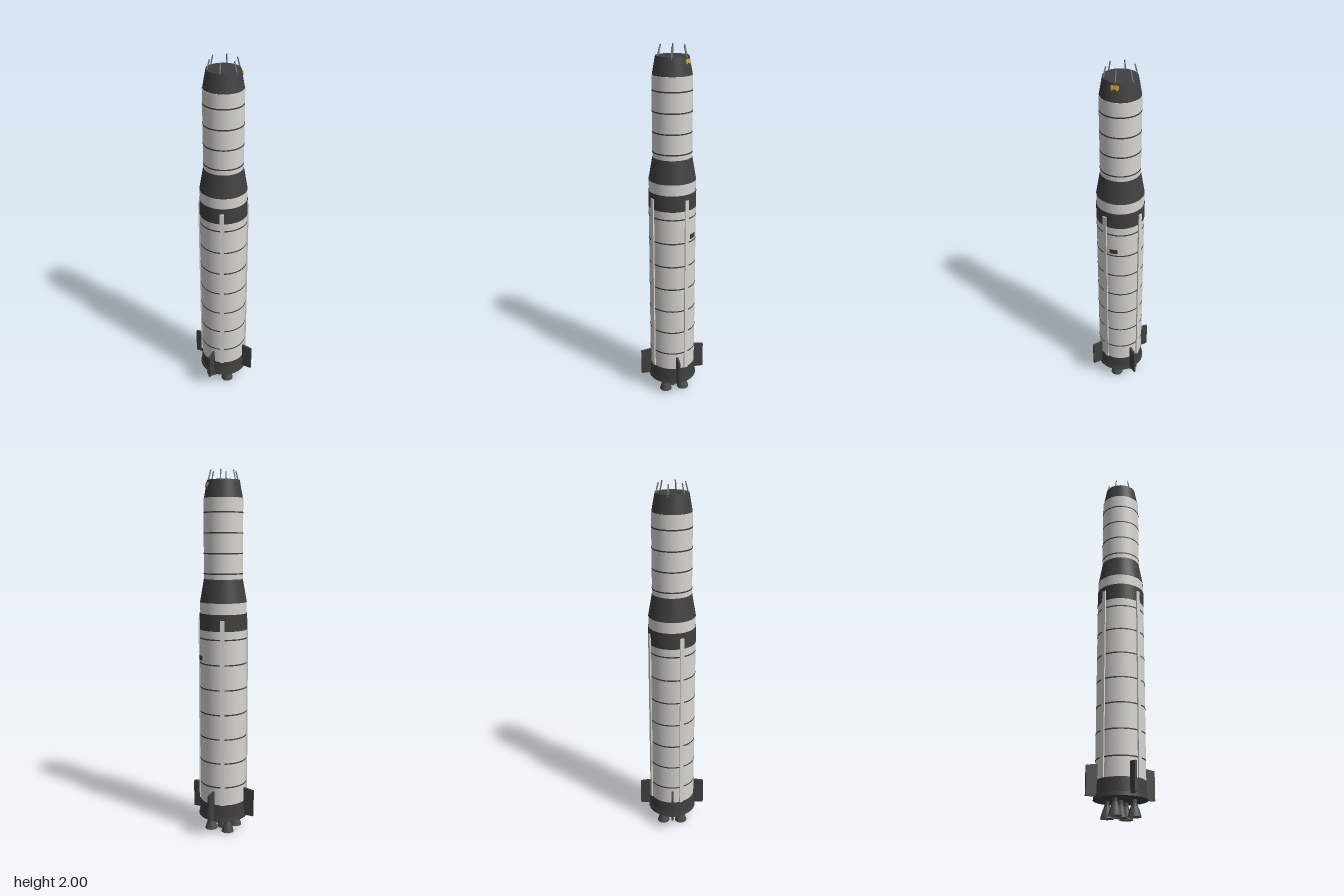
import * as THREE from 'three';

const mat = (name, color, side = THREE.FrontSide) => {
  const m = new THREE.MeshStandardMaterial({ color, side });
  m.name = name;
  return m;
};

export function createModel() {
  const rocket = new THREE.Group();
  rocket.name = 'rocket';
  const white = mat('white paint', 0xd6d5cf);
  const black = mat('black paint', 0x404040);
  const engineGrey = mat('engine grey', 0x4a4a49, THREE.DoubleSide);
  const steel = mat('steel', 0x7d8284);
  const gold = mat('gold', 0xc9a52c, THREE.DoubleSide);

  const add = (name, geometry, material, parent = rocket) => {
    const mesh = new THREE.Mesh(geometry, material);
    mesh.name = name;
    parent.add(mesh);
    return mesh;
  };
  // Hull section between two heights
  const section = (name, y0, y1, r0, r1, material, open = true) => {
    const mesh = add(name, new THREE.CylinderGeometry(r1, r0, y1 - y0, 64, 1, open), material);
    mesh.position.y = (y0 + y1) / 2;
    return mesh;
  };
  // Rod between two points
  const rod = (name, a, b, r, material, parent) => {
    const mesh = add(name, new THREE.CylinderGeometry(r, r, a.distanceTo(b), 8), material, parent);
    mesh.position.copy(a).lerp(b, 0.5);
    mesh.quaternion.setFromUnitVectors(new THREE.Vector3(0, 1, 0), b.clone().sub(a).normalize());
    return mesh;
  };

  // Hull, from the tail up
  section('tailFlange', 0.085, 0.105, 0.139, 0.136, black, false);
  section('tailSkirt', 0.105, 0.178, 0.133, 0.13, black, false);
  section('lowerStage', 0.178, 1.155, 0.129, 0.129, white);
  section('interstageBand', 1.155, 1.245, 0.13, 0.13, black, false);
  section('interstageRing', 1.245, 1.305, 0.127, 0.127, white);
  section('shoulder', 1.305, 1.43, 0.128, 0.106, black, false);
  section('upperStage', 1.43, 1.857, 0.106, 0.106, white, false);
  section('noseCone', 1.857, 1.95, 0.104, 0.087, black, false);

  // Panel seams
  for (let i = 0; i < 7; i++) {
    const y = 0.281 + i * 0.138;
    section('lowerSeam', y - 0.0035, y + 0.0035, 0.1298, 0.1298, black, false);
  }
  for (let i = 0; i < 4; i++) {
    const y = 1.459 + i * 0.1075;
    section('upperSeam', y - 0.0035, y + 0.0035, 0.1068, 0.1068, black, false);
  }

  // Four cable ducts, turned off the main axes
  for (let i = 0; i < 4; i++) {
    const pivot = new THREE.Group();
    pivot.name = 'cableDuct';
    pivot.rotation.y = i * Math.PI / 2 - Math.atan2(0.05, 0.125);
    const duct = add('duct', new THREE.BoxGeometry(0.022, 1.037, 0.014), white, pivot);
    duct.position.set(0, 0.6965, 0.129);
    rocket.add(pivot);
  }

  // Four diagonal fins
  const finShape = new THREE.Shape([
    [0.12, 0.095], [0.188, 0.095], [0.188, 0.247], [0.12, 0.257],
  ].map(([x, y]) => new THREE.Vector2(x, y)));
  const finGeometry = new THREE.ExtrudeGeometry(finShape, { depth: 0.012, bevelEnabled: false });
  finGeometry.translate(0, 0, -0.006);
  for (let i = 0; i < 4; i++) {
    add('fin', finGeometry, black).rotation.y = Math.PI / 4 + i * Math.PI / 2;
  }

  // Five engines: one in the middle and four on the axes
  const bell = new THREE.LatheGeometry([
    [0.035, 0], [0.029, 0.022], [0.021, 0.045], [0.013, 0.066], [0.012, 0.09],
  ].map(([x, y]) => new THREE.Vector2(x, y)), 24);
  for (const [x, z] of [[0, 0], [0.073, 0], [-0.073, 0], [0, 0.073], [0, -0.073]]) {
    const engine = new THREE.Group();
    engine.name = 'engine';
    engine.position.set(x, 0, z);
    add('bell', bell, engineGrey, engine);
    const throat = add('throat', new THREE.CylinderGeometry(0.013, 0.013, 0.026, 16), engineGrey, engine);
    throat.position.y = 0.076;
    rocket.add(engine);
  }

  // Six prongs leaning inward on the nose
  for (let i = 0; i < 6; i++) {
    const a = i * Math.PI / 3;
    const at = (r, y) => new THREE.Vector3(r * Math.cos(a), y, r * Math.sin(a));
    rod('prong', at(0.086, 1.94), at(0.07, 2), 0.0035, steel);
  }

  // Small dark plate on the left side
  const plate = add('sidePlate', new THREE.BoxGeometry(0.006, 0.025, 0.042), black);
  plate.position.set(0.129, 1.0, 0);

  // Notched gold plate on the nose, tilted with its slope
  const badge = new THREE.Shape([
    [-0.02, 0.012], [0.02, 0.012], [0.02, -0.006], [0.013, -0.014],
    [0.006, -0.008], [0, -0.004], [-0.006, -0.008], [-0.013, -0.014], [-0.02, -0.006],
  ].map(([x, y]) => new THREE.Vector2(x, y)));
  const badgeGeometry = new THREE.ExtrudeGeometry(badge, { depth: 0.004, bevelEnabled: false });
  badgeGeometry.rotateX(-0.18).rotateY(Math.PI / 2);
  add('nosePlate', badgeGeometry, gold).position.set(0.0905, 1.925, 0);

  return rocket;
}
